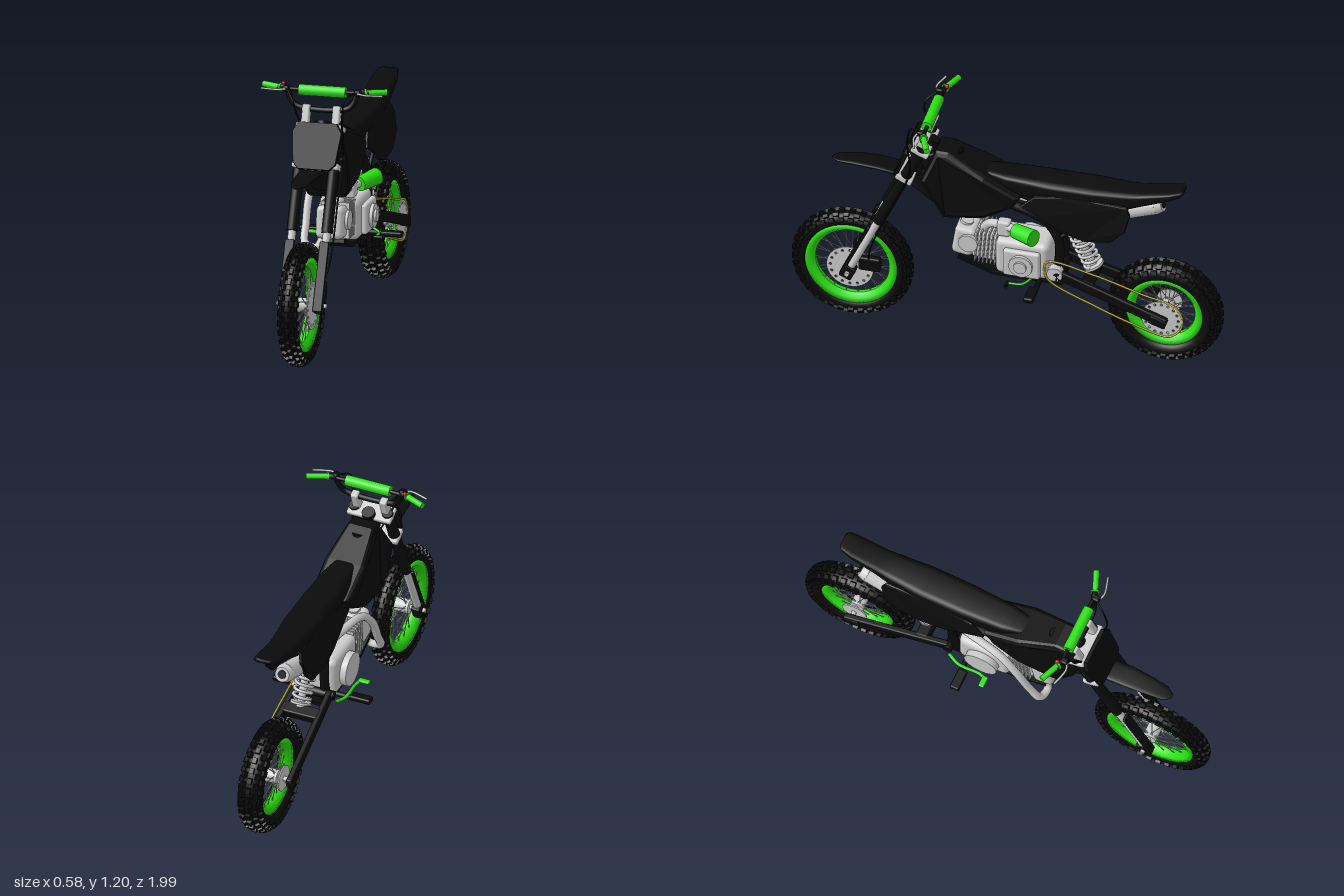
import * as THREE from 'three';
import { mergeGeometries } from 'three/addons/utils/BufferGeometryUtils.js';
import { RoundedBoxGeometry } from 'three/addons/geometries/RoundedBoxGeometry.js';

const paint = (c) => new THREE.MeshStandardMaterial({ color: c });
const black = paint(0x0b0b0b), green = paint(0x2be012), grey = paint(0xcccccc), yellow = paint(0xb8a526), red = paint(0xcc1a1a);
const V = (p) => new THREE.Vector3(...p);
const flip = (p) => [-p[0], p[1], p[2]];

export function createModel() {
  const bike = new THREE.Group();
  bike.name = 'dirtBike';
  const add = (name, geo, mat, parent = bike) => {
    const m = new THREE.Mesh(geo, mat);
    m.name = name;
    parent.add(m);
    return m;
  };
  const rodGeo = (a, b, r, r2 = r, seg = 16) => {
    const d = V(b).sub(V(a)), g = new THREE.CylinderGeometry(r2, r, d.length(), seg);
    g.applyQuaternion(new THREE.Quaternion().setFromUnitVectors(V([0, 1, 0]), d.clone().normalize()));
    return g.translate(...V(a).addScaledVector(d, 0.5).toArray());
  };
  const rod = (name, a, b, r, mat, r2 = r) => add(name, rodGeo(a, b, r, r2), mat);
  const tube = (name, pts, r, mat, closed = false) =>
    add(name, new THREE.TubeGeometry(new THREE.CatmullRomCurve3(pts.map(V), closed, 'centripetal'), pts.length * 8, r, 8, closed), mat);
  const box = (name, size, pos, mat, tilt = 0, r = 0.008) => {
    const m = add(name, new RoundedBoxGeometry(...size, 2, Math.min(r, Math.min(...size) * 0.45)), mat);
    m.position.set(...pos);
    m.rotation.x = tilt;
    return m;
  };
  // Side outline given as [z, y], extruded across x and centred on the given x
  const plate = (name, pts, width, x, mat, bevel = 0.006) => {
    const s = new THREE.Shape(pts.map((p) => new THREE.Vector2(...p)));
    const g = new THREE.ExtrudeGeometry(s, { depth: width - 2 * bevel, bevelSize: bevel, bevelThickness: bevel, bevelSegments: 2 });
    g.translate(0, 0, bevel - width / 2).rotateY(-Math.PI / 2).translate(x, 0, 0);
    return add(name, g, mat);
  };
  // Loft through sections [z, yBottom, yTop, halfWidth] ordered front to back
  const loft = (name, secs, power, mat) => {
    const n = 20, pos = [], idx = [], pw = (v) => Math.sign(v) * Math.abs(v) ** power;
    for (const [z, lo, hi, w] of secs) for (let j = 0; j < n; j++) {
      const a = (j / n) * Math.PI * 2;
      pos.push(w * pw(Math.cos(a)), (lo + hi) / 2 + ((hi - lo) / 2) * pw(Math.sin(a)), z);
    }
    const last = secs.length - 1, c = pos.length / 3;
    for (const s of [secs[0], secs[last]]) pos.push(0, (s[1] + s[2]) / 2, s[0]);
    for (let j = 0; j < n; j++) {
      const k = (j + 1) % n;
      for (let i = 0; i < last; i++) {
        const a = i * n, b = a + n;
        idx.push(a + j, b + j, b + k, a + j, b + k, a + k);
      }
      idx.push(c, j, k, c + 1, last * n + k, last * n + j);
    }
    const g = new THREE.BufferGeometry();
    g.setAttribute('position', new THREE.Float32BufferAttribute(pos, 3));
    g.setIndex(idx);
    g.computeVertexNormals();
    return add(name, g, mat);
  };

  // Wheels: axle along x, knobbly tyre, rim, spokes, hub and a drilled disc
  const wheel = (name, z, y, R, rim, w, discR, discX) => {
    const g = new THREE.Group();
    g.name = name;
    g.position.set(0, y, z);
    bike.add(g);
    const rOut = R - 0.014, rc = (rOut + rim) / 2, a = (rOut - rim) / 2;
    const lathe = (pts) => new THREE.LatheGeometry(pts.map((p) => new THREE.Vector2(...p)), 64).rotateZ(Math.PI / 2);
    const ring = Array.from({ length: 21 }, (_, i) => {
      const t = -Math.PI + (i / 20) * Math.PI * 2;
      return [rc + a * Math.cos(t), w * 0.9 * Math.sin(t)];
    });
    add('tyre', lathe(ring), black, g);
    const knobs = [];
    [-1.15, -0.6, 0, 0.6, 1.15].forEach((t, row) => {
      for (let i = 0; i < 34; i++) {
        knobs.push(new THREE.BoxGeometry(w * 0.38, 0.028, 0.026).rotateZ(-t)
          .translate(w * 0.88 * Math.sin(t), rc + a * Math.cos(t), 0)
          .rotateX(((i + (row % 2) / 2) / 34) * Math.PI * 2));
      }
    });
    add('treadKnobs', mergeGeometries(knobs), black, g);
    add('rim', lathe([[rim - 0.03, -0.01], [rim - 0.012, -0.03], [rim + 0.012, -0.034], [rim + 0.012, 0.034],
      [rim - 0.012, 0.03], [rim - 0.03, 0.01], [rim - 0.03, -0.01]]), green, g);
    const spokes = [];
    for (let i = 0; i < 36; i++) {
      const p = (i / 36) * Math.PI * 2, q = p + (i % 4 < 2 ? 0.35 : -0.35), x = i % 2 ? 0.028 : -0.028;
      spokes.push(rodGeo([x, 0.03 * Math.cos(q), 0.03 * Math.sin(q)],
        [x * 0.25, (rim - 0.025) * Math.cos(p), (rim - 0.025) * Math.sin(p)], 0.0022, 0.0022, 5));
    }
    add('spokes', mergeGeometries(spokes), grey, g);
    add('hub', rodGeo([-0.04, 0, 0], [0.04, 0, 0], 0.033), grey, g);
    add('axle', rodGeo([-0.115, 0, 0], [0.115, 0, 0], 0.011), grey, g);
    const s = new THREE.Shape().absarc(0, 0, discR, 0, Math.PI * 2);
    for (let i = 0; i < 16; i++) {
      const t = (i / 16) * Math.PI * 2;
      s.holes.push(new THREE.Path().absarc(discR * 0.84 * Math.cos(t), discR * 0.84 * Math.sin(t), 0.006, 0, Math.PI * 2, true));
    }
    add('disc', new THREE.ExtrudeGeometry(s, { depth: 0.005, bevelEnabled: false, curveSegments: 24 })
      .rotateY(Math.PI / 2).translate(discX, 0, 0), grey, g);
    return g;
  };
  wheel('frontWheel', 0.72, 0.28, 0.28, 0.2, 0.042, 0.108, 0.048);
  const rear = wheel('rearWheel', -0.725, 0.287, 0.265, 0.166, 0.057, 0.093, 0.078);
  add('rearBrakeDisc', rodGeo([-0.066, 0, 0], [-0.06, 0, 0], 0.06, 0.06, 32), grey, rear);

  // Fork and steering
  const fz = (y) => 0.72 - (y - 0.28) * 0.457, at = (x, y, dz = 0) => [x, y, fz(y) + dz], lean = -0.43;
  for (const s of [1, -1]) {
    const x = 0.08 * s;
    rod('forkSlider', at(x, 0.27), at(x, 0.62), 0.018, grey);
    rod('forkTube', at(x, 0.58), at(x, 1.03), 0.026, black);
    box('forkGuard', [0.045, 0.32, 0.014], at(x, 0.405, 0.026), black, lean);
    box('axleClamp', [0.045, 0.07, 0.06], at(x, 0.28), black, lean);
    box('handlebarRiser', [0.036, 0.11, 0.04], [0.07 * s, 1.055, 0.378], grey, -0.35);
  }
  box('brakeCaliper', [0.035, 0.07, 0.1], [0.062, 0.325, 0.625], black);
  box('lowerTripleClamp', [0.215, 0.03, 0.08], at(0, 0.85), grey, lean);
  box('upperTripleClamp', [0.215, 0.025, 0.085], at(0, 1.01), grey, lean);
  rod('steeringStem', at(0, 0.83, -0.03), at(0, 1.03, -0.03), 0.03, black);
  box('numberPlate', [0.215, 0.215, 0.016], [0, 0.945, 0.462], black, -0.38, 0.03).geometry = (() => {
    const s = new THREE.Shape([[-0.07, -0.105], [0.07, -0.105], [0.095, -0.08], [0.11, 0.06], [0.085, 0.1], [-0.085, 0.1], [-0.11, 0.06], [-0.095, -0.08]].map((p) => new THREE.Vector2(...p)));
    return new THREE.ExtrudeGeometry(s, { depth: 0.012, bevelSize: 0.004, bevelThickness: 0.004, bevelSegments: 2 });
  })();
  loft('frontFender', [[0.815, 0.838, 0.843, 0.012], [0.78, 0.838, 0.85, 0.035], [0.7, 0.842, 0.858, 0.045], [0.6, 0.84, 0.858, 0.052],
    [0.52, 0.825, 0.848, 0.052], [0.44, 0.785, 0.815, 0.052], [0.38, 0.735, 0.765, 0.05], [0.34, 0.705, 0.72, 0.045]], 0.6, black);

  // Handlebar, pad, grips and levers
  const half = [[0.21, 1.172, 0.34], [0.165, 1.172, 0.35], [0.145, 1.125, 0.36], [0.115, 1.098, 0.365]];
  tube('handlebar', [...half, ...half.map(flip).reverse()], 0.013, black);
  rod('crossbar', [-0.16, 1.17, 0.35], [0.16, 1.17, 0.35], 0.009, black);
  rod('barPad', [-0.108, 1.17, 0.352], [0.108, 1.17, 0.352], 0.025, green);
  for (const s of [1, -1]) {
    rod('grip', [0.195 * s, 1.172, 0.343], [0.285 * s, 1.172, 0.305], 0.014, green);
    rod('gripFlange', [0.19 * s, 1.172, 0.345], [0.198 * s, 1.172, 0.342], 0.02, green);
    box('leverPerch', [0.03, 0.025, 0.035], [0.165 * s, 1.175, 0.362], black);
    tube('lever', [[0.165 * s, 1.175, 0.375], [0.2 * s, 1.172, 0.385], [0.28 * s, 1.168, 0.365]], 0.005, grey);
  }
  box('killSwitch', [0.016, 0.02, 0.02], [-0.185, 1.188, 0.335], red);
  tube('brakeCable', [[0.15, 1.175, 0.375], [0.12, 1.155, 0.42], [0.113, 1.08, 0.44], [0.112, 0.9, 0.43], [0.11, 0.7, 0.51], [0.1, 0.45, 0.61], [0.07, 0.34, 0.63]], 0.004, black);
  tube('throttleCable', [[-0.16, 1.175, 0.37], [-0.12, 1.13, 0.42], [-0.1, 1.05, 0.4], [-0.06, 0.95, 0.33]], 0.004, black);

  // Tank with shrouds, narrowing towards the top and bottom
  const tank = plate('tankShroud', [[0.36, 0.865], [0.31, 0.985], [0.27, 0.985], [0.1, 0.905], [-0.05, 0.83], [-0.02, 0.785], [0.1, 0.715], [0.27, 0.685], [0.31, 0.77]], 0.24, 0, black, 0.02);
  const tp = tank.geometry.attributes.position;
  for (let i = 0; i < tp.count; i++) {
    const y = tp.getY(i), z = tp.getZ(i);
    tp.setX(i, tp.getX(i) * (1 - Math.max(0, y - 0.85) * 3 - Math.max(0, 0.8 - y) * 1.6 - Math.max(0, 0.08 - z) * 1.5));
  }
  tank.geometry.computeVertexNormals();
  rod('fuelCap', [0, 0.93, 0.23], [0, 0.985, 0.24], 0.028, black);
  box('headTubeBrace', [0.07, 0.09, 0.12], [0, 0.92, 0.34], black, 0.4);

  // Seat, tail and side panels
  loft('seat', [[0.1, 0.89, 0.924, 0.045], [0, 0.84, 0.926, 0.068], [-0.2, 0.81, 0.926, 0.08], [-0.4, 0.825, 0.926, 0.08], [-0.56, 0.84, 0.927, 0.066],
    [-0.62, 0.865, 0.932, 0.06], [-0.75, 0.92, 0.957, 0.056], [-0.8, 0.945, 0.97, 0.047], [-0.812, 0.955, 0.968, 0.03]], 0.45, black);
  for (const s of [1, -1]) {
    const p = plate('sidePanel', [[-0.08, 0.8], [-0.14, 0.85], [-0.3, 0.875], [-0.56, 0.865], [-0.575, 0.83], [-0.555, 0.75], [-0.49, 0.685], [-0.37, 0.668], [-0.26, 0.7], [-0.16, 0.765]], 0.016, 0.095 * s, black);
    const a = p.geometry.attributes.position;
    for (let i = 0; i < a.count; i++) a.setX(i, a.getX(i) - s * Math.max(0, a.getY(i) - 0.78) * 0.25);
    p.geometry.computeVertexNormals();
  }

  // Frame, subframe and skid plate
  for (const s of [1, -1]) {
    const x = 0.05 * s;
    tube('mainFrame', [[0.02 * s, 0.9, 0.36], [x, 0.82, 0.15], [x, 0.77, -0.03], [x, 0.71, -0.18], [x, 0.62, -0.24], [x, 0.5, -0.245], [x, 0.39, -0.22]], 0.022, black);
    tube('subframe', [[x, 0.74, -0.13], [x, 0.82, -0.3], [x, 0.86, -0.55]], 0.012, black);
    tube('lowerSubframe', [[x, 0.62, -0.24], [x, 0.72, -0.36], [x, 0.84, -0.52]], 0.01, black);
  }
  plate('skidPlate', [[0.22, 0.435], [0.06, 0.375], [-0.26, 0.375], [-0.26, 0.387], [0.06, 0.39], [0.215, 0.45]], 0.13, 0, black, 0.002);

  // Engine
  box('crankcase', [0.17, 0.19, 0.25], [0, 0.49, -0.08], grey, 0, 0.03);
  box('sideCover', [0.03, 0.14, 0.17], [0.098, 0.485, -0.085], grey, 0, 0.012);
  rod('flywheelCover', [0.1, 0.485, -0.085], [0.128, 0.485, -0.085], 0.055, grey);
  rod('flywheelCap', [0.12, 0.485, -0.085], [0.138, 0.485, -0.085], 0.03, grey);
  rod('sprocketCover', [0.06, 0.45, -0.235], [0.1, 0.45, -0.235], 0.036, grey);
  rod('clutchCover', [-0.115, 0.48, -0.08], [-0.07, 0.48, -0.08], 0.08, grey);
  box('cylinder', [0.11, 0.14, 0.15], [0, 0.51, 0.08], grey, -0.08, 0.015);
  for (let i = 0; i < 6; i++) box('coolingFin', [0.135, 0.165, 0.007], [0, 0.51 + i * 0.001, 0.045 + i * 0.018], grey, -0.08, 0.002);
  box('cylinderHead', [0.13, 0.15, 0.1], [0, 0.523, 0.195], grey, -0.15, 0.025);
  rod('camCover', [0.06, 0.53, 0.17], [0.078, 0.53, 0.17], 0.045, grey);
  rod('valveCap', [0, 0.57, 0.2], [0, 0.61, 0.19], 0.03, grey);
  tube('intake', [[0.01, 0.56, 0.12], [0.02, 0.62, 0.09], [0.04, 0.64, 0.02], [0.06, 0.64, -0.04]], 0.02, grey);
  box('carburettor', [0.05, 0.08, 0.06], [0.04, 0.63, 0.01], grey, 0, 0.012);
  rod('airFilter', [0.065, 0.637, -0.045], [0.118, 0.65, -0.145], 0.034, green, 0.04);

  // Exhaust
  tube('exhaustPipe', [[-0.03, 0.47, 0.2], [-0.06, 0.41, 0.23], [-0.115, 0.42, 0.22], [-0.125, 0.5, 0.17], [-0.125, 0.63, 0.1], [-0.11, 0.7, 0.02], [-0.08, 0.705, -0.12], [-0.055, 0.7, -0.25], [-0.045, 0.715, -0.37]], 0.019, grey);
  rod('mufflerCone', [-0.045, 0.708, -0.35], [-0.045, 0.73, -0.42], 0.02, grey, 0.042);
  rod('muffler', [-0.045, 0.73, -0.42], [-0.045, 0.822, -0.67], 0.044, grey);
  rod('mufflerTip', [-0.045, 0.822, -0.67], [-0.045, 0.832, -0.7], 0.044, grey, 0.034);
  rod('mufflerOutlet', [-0.045, 0.83, -0.69], [-0.045, 0.835, -0.703], 0.02, black);

  // Rear shock
  const top = [0, 0.69, -0.29], low = [0, 0.45, -0.4], coil = [];
  rod('shockBody', low, top, 0.018, grey);
  for (let i = 0; i <= 84; i++) {
    const t = i / 84, a = t * 7 * Math.PI * 2, c = V(low).lerp(V(top), 0.1 + t * 0.8);
    coil.push(V([Math.cos(a) * 0.04, 0.417 * Math.sin(a) * -0.04, 0.909 * Math.sin(a) * 0.04]).add(c));
  }
  add('shockSpring', new THREE.TubeGeometry(new THREE.CatmullRomCurve3(coil), 252, 0.008, 6), grey);
  rod('springSeat', [0, 0.463, -0.394], [0, 0.473, -0.389], 0.048, grey);

  // Swingarm
  for (const s of [1, -1]) {
    const arm = box('swingarm', [0.028, 0.05, 0.53], [0.09 * s, 0.362, -0.5], black, -0.31);
    arm.rotation.order = 'YXZ';
    arm.rotation.y = -0.05 * s;
    box('chainAdjuster', [0.034, 0.045, 0.08], [0.102 * s, 0.287, -0.715], black, -0.31);
  }
  box('swingarmBrace', [0.17, 0.045, 0.06], [0, 0.405, -0.38], black, -0.31);
  rod('swingarmPivot', [-0.1, 0.44, -0.25], [0.1, 0.44, -0.25], 0.022, black);

  // Chain loop around both sprockets
  const chain = [[0.083, 0.505, -0.2], [0.083, 0.47, -0.42], [0.083, 0.4, -0.66]];
  for (let i = 0; i < 7; i++) {
    const a = 1.4 - (i * Math.PI) / 7;
    chain.push([0.083, 0.287 + 0.098 * Math.sin(a), -0.725 - 0.098 * Math.cos(a)]);
  }
  chain.push([0.083, 0.235, -0.59], [0.083, 0.3, -0.42], [0.083, 0.4, -0.21], [0.083, 0.45, -0.185]);
  tube('chain', chain, 0.005, yellow, true);

  // Footpegs and foot levers
  rod('footpegBar', [-0.14, 0.385, -0.16], [0.14, 0.385, -0.16], 0.012, black);
  for (const s of [1, -1]) box('footpeg', [0.1, 0.025, 0.045], [0.188 * s, 0.387, -0.15], black);
  tube('brakePedal', [[-0.1, 0.4, -0.24], [-0.125, 0.395, -0.18], [-0.125, 0.395, -0.08], [-0.135, 0.4, -0.05]], 0.008, green);
  box('brakePedalPad', [0.055, 0.014, 0.028], [-0.155, 0.403, -0.045], green);
  tube('shiftLever', [[0.09, 0.42, -0.14], [0.14, 0.405, -0.1], [0.145, 0.4, -0.03]], 0.006, green);
  rod('shiftTip', [0.135, 0.4, -0.03], [0.175, 0.4, -0.03], 0.008, black);
  return bike;
}
